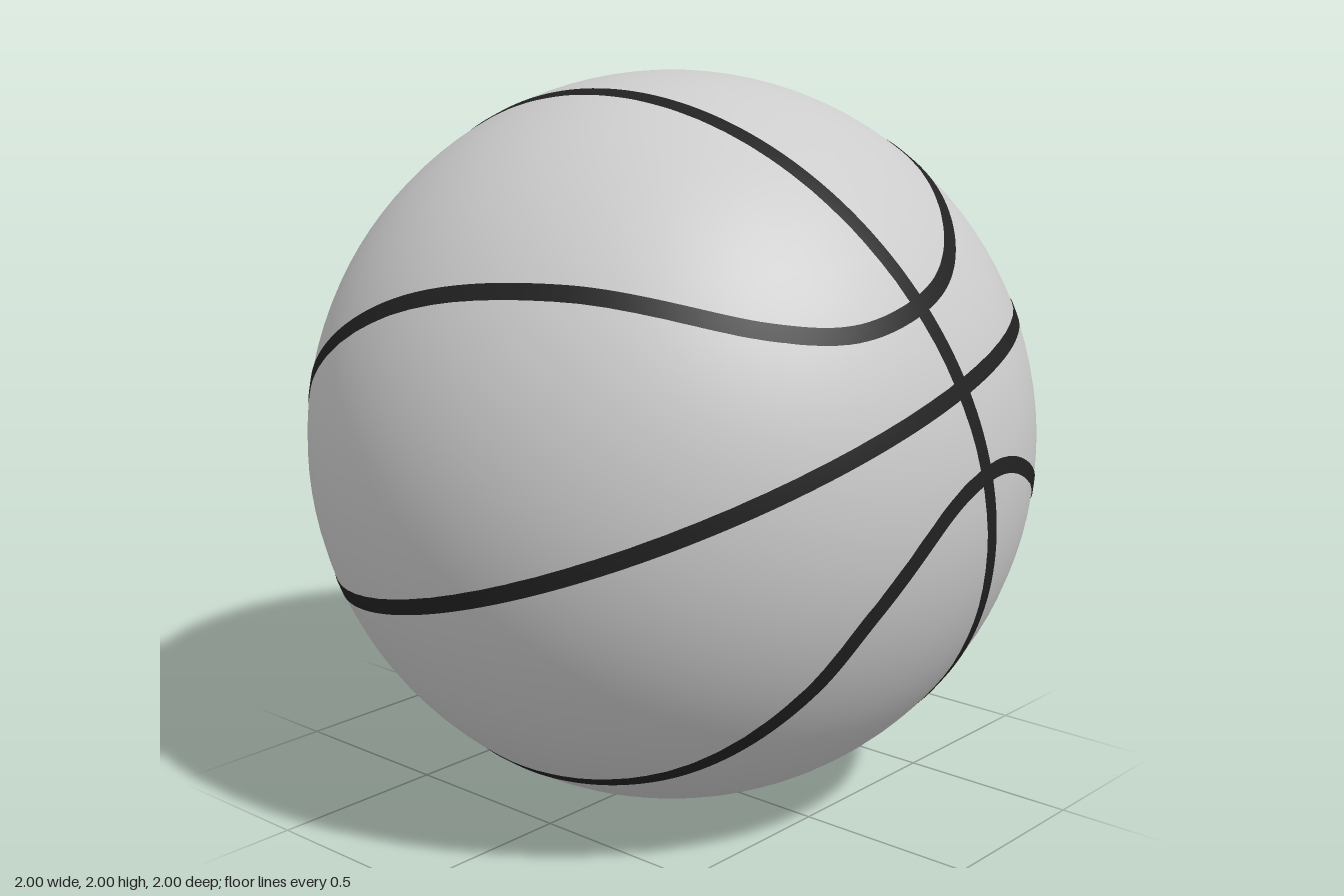
import * as THREE from 'three';

// Tilted axes of the ball: pole, and the two directions the great circles pass through
const P = new THREE.Vector3(0.963, 0.27, 0.02);
const U = new THREE.Vector3(-0.266, 0.917, 0.297);
const W = new THREE.Vector3(0.06, -0.25, 0.967);
const toWorld = new THREE.Matrix3().set(
  P.x, P.y, P.z, U.x, U.y, U.z, W.x, W.y, W.z).invert();

// Side loops as components along pole, U and W
const UPPER = [
  [0.97, 0.226, 0], [0.94, 0.257, 0.234], [0.844, 0.364, 0.416], [0.495, 0.622, 0.635],
  [0.05, 0.718, 0.724], [-0.51, 0.573, 0.66], [-0.758, 0.4, 0.53], [-0.93, 0.27, 0.25],
  [-0.97, 0.23, 0], [-0.93, 0.26, -0.25], [-0.78, 0.43, -0.48], [-0.41, 0.604, -0.66],
  [0.01, 0.63, -0.763], [0.41, 0.57, -0.71], [0.765, 0.396, -0.482], [0.945, 0.254, -0.185],
];
const LOWER = [
  [0.97, -0.24, 0], [0.955, -0.253, 0.16], [0.82, -0.384, 0.41], [0.66, -0.508, 0.544],
  [0.3, -0.625, 0.7], [-0.207, -0.585, 0.77], [-0.585, -0.466, 0.635], [-0.85, -0.32, 0.42],
  [-0.94, -0.25, 0.22], [-0.97, -0.23, 0], [-0.93, -0.28, -0.25], [-0.82, -0.42, -0.42],
  [-0.56, -0.59, -0.594], [0, -0.7, -0.71], [0.358, -0.689, -0.657], [0.79, -0.469, -0.41],
  [0.95, -0.283, -0.144],
];

// Great circle through the pole and a second direction
const greatCircle = (side) => Array.from({ length: 24 }, (_, i) => {
  const a = (i / 24) * Math.PI * 2;
  return P.clone().multiplyScalar(Math.cos(a)).addScaledVector(side, Math.sin(a));
});
const loop = (rows) => rows.map((r) => new THREE.Vector3(...r).applyMatrix3(toWorld));

// Closed band lying on the ball, its edges sunk just below the surface
function seamGeometry(points) {
  const curve = new THREE.CatmullRomCurve3(points.map((p) => p.normalize()), true);
  const N = 240;
  const section = [[-0.024, 0.992], [-0.021, 1.001], [0, 1.001], [0.021, 1.001], [0.024, 0.992]];
  const M = section.length;
  const pos = [], nor = [], idx = [];
  for (let i = 0; i <= N; i++) {
    const t = (i % N) / N;
    const n = curve.getPointAt(t).normalize();
    const side = new THREE.Vector3().crossVectors(n, curve.getTangentAt(t)).normalize();
    for (const [offset, radius] of section) {
      const dir = n.clone().addScaledVector(side, offset).normalize();
      nor.push(dir.x, dir.y, dir.z);
      dir.multiplyScalar(radius);
      pos.push(dir.x, dir.y, dir.z);
    }
  }
  for (let i = 0; i < N; i++) {
    for (let j = 0; j < M - 1; j++) {
      const a = i * M + j, b = a + M;
      idx.push(a, b, a + 1, b, b + 1, a + 1);
    }
  }
  const g = new THREE.BufferGeometry();
  g.setAttribute('position', new THREE.Float32BufferAttribute(pos, 3));
  g.setAttribute('normal', new THREE.Float32BufferAttribute(nor, 3));
  g.setIndex(idx);
  return g;
}

export function createModel() {
  const ballGrey = new THREE.MeshStandardMaterial({ color: 0xcccccc });
  ballGrey.name = 'ball grey';
  const seamBlack = new THREE.MeshStandardMaterial({ color: 0x222222 });
  seamBlack.name = 'seam black';

  const group = new THREE.Group();
  group.name = 'ball';

  // Smooth ball body
  const body = new THREE.Mesh(new THREE.SphereGeometry(0.999, 80, 56), ballGrey);
  body.name = 'ballBody';
  group.add(body);

  // Two great circles and two side loops
  const seams = {
    verticalSeam: greatCircle(U),
    middleSeam: greatCircle(W),
    upperLoopSeam: loop(UPPER),
    lowerLoopSeam: loop(LOWER),
  };
  for (const [name, points] of Object.entries(seams)) {
    const seam = new THREE.Mesh(seamGeometry(points), seamBlack);
    seam.name = name;
    group.add(seam);
  }

  for (const part of group.children) part.position.y = 1;
  return group;
}
